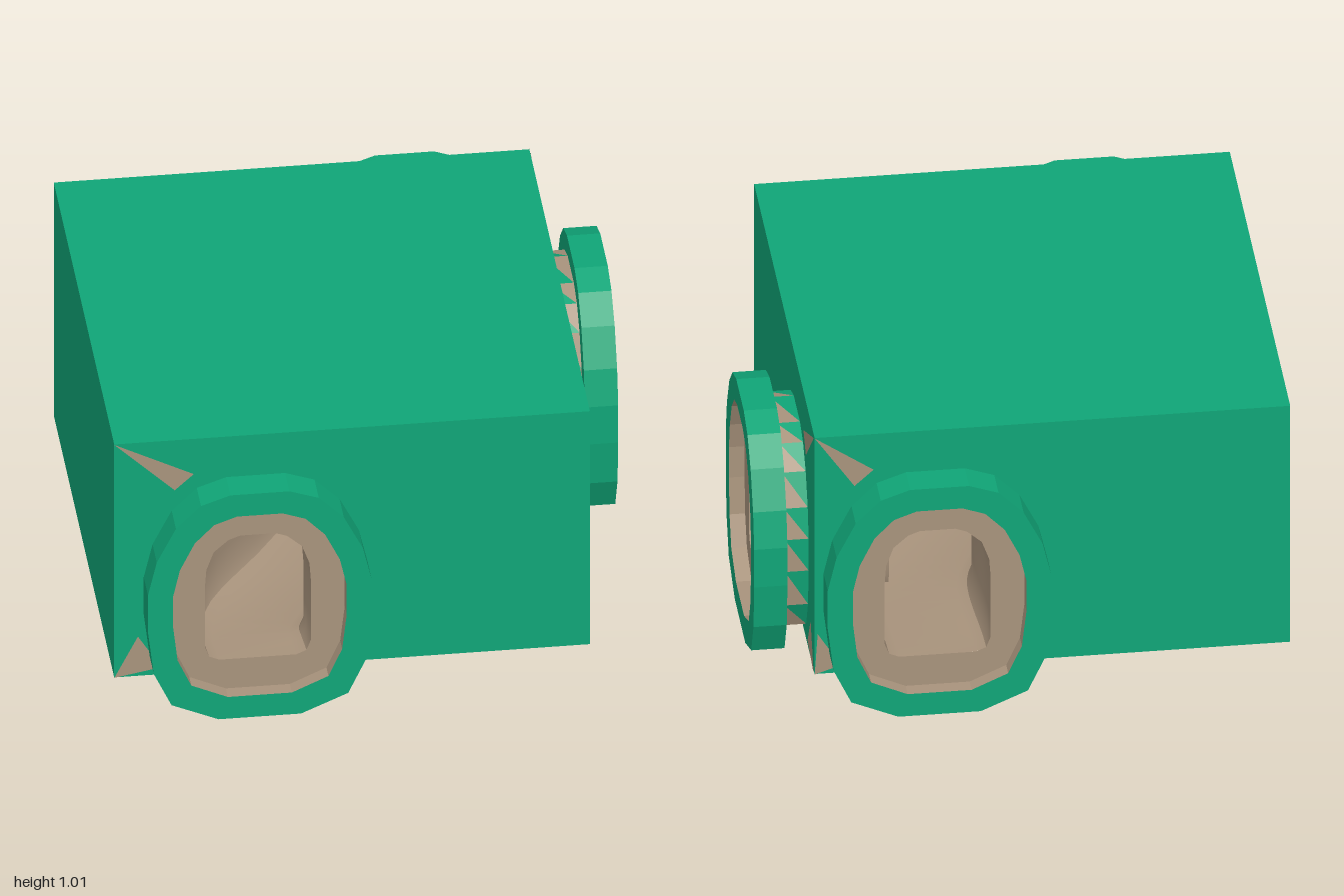
import * as THREE from 'three';
import { toCreasedNormals } from 'three/addons/utils/BufferGeometryUtils.js';

// Right halves of the collar and tunnel outlines, bottom to top: [x, y]
const COLLAR = [[.14, 0], [.3, .07], [.36, .2], [.38, .37], [.38, .52], [.35, .65], [.285, .78], [.2, .865], [.1, .9]];
const BORE = [[.13, .205], [.165, .22], [.18, .26], [.18, .35], [.18, .5], [.175, .57], [.15, .64], [.1, .685], [.06, .7]];
const MID = 0.45;

// Closed outline, scaled about its middle
function outline(half, sx = 1, sy = 1) {
  const right = half.map(([x, y]) => [x * sx, MID + (y - MID) * sy]);
  return [...right, ...right.map(([x, y]) => [-x, y]).reverse()];
}
const OUTER = outline(COLLAR);
const NECK = outline(COLLAR, 0.83, 0.845);
const MOUTH = outline(COLLAR, 0.776, 0.806);
const TUNNEL = outline(BORE);

const ringAt = (pts, z, cx = 0) => pts.map(([x, y]) => [x + cx, y, z]);

// Join successive rings with two triangles per side
function loft(rings) {
  const pos = [];
  for (let i = 0; i < rings.length - 1; i++) {
    const a = rings[i], b = rings[i + 1], n = a.length;
    for (let j = 0; j < n; j++) {
      const k = (j + 1) % n;
      pos.push(...a[j], ...a[k], ...b[k], ...a[j], ...b[k], ...b[j]);
    }
  }
  const geo = new THREE.BufferGeometry();
  geo.setAttribute('position', new THREE.Float32BufferAttribute(pos, 3));
  geo.computeVertexNormals();
  return geo;
}

// Sweep the tunnel outline along a level path of [x, z] points
function sweep(path, steps) {
  const curve = new THREE.CatmullRomCurve3(path.map(([x, z]) => new THREE.Vector3(x, 0, z)));
  const up = new THREE.Vector3(0, 1, 0), rings = [];
  for (let i = 0; i <= steps; i++) {
    const p = curve.getPointAt(i / steps);
    const side = up.clone().cross(curve.getTangentAt(i / steps).negate());
    rings.push(TUNNEL.map(([x, y]) => [p.x + side.x * x, y, p.z + side.z * x]));
  }
  return toCreasedNormals(loft(rings), 0.6);
}

export function createModel() {
  const model = new THREE.Group();
  model.name = 'tunnelBlock';
  const green = new THREE.MeshStandardMaterial({ color: 0x10a577 });
  green.name = 'green shell';
  const tan = new THREE.MeshStandardMaterial({ color: 0xa8937c, side: THREE.DoubleSide });
  tan.name = 'tan lining';

  const add = (parent, name, geo, mat) => {
    const mesh = new THREE.Mesh(geo, mat);
    mesh.name = name;
    parent.add(mesh);
    return mesh;
  };

  // Upright wall from x0 to x1 in its own frame, facing its own +z
  function wall(name, x0, x1, depth, turn, port, corner) {
    const group = new THREE.Group();
    group.name = name;
    group.rotation.y = turn;
    model.add(group);
    const shape = new THREE.Shape([[x0, .07], [x1, .07], [x1, 1.01], [x0, 1.01]].map(p => new THREE.Vector2(...p)));
    if (port !== undefined) {
      shape.holes.push(new THREE.Path(MOUTH.map(([x, y]) => new THREE.Vector2(x + port, y))));
    }
    add(group, name + 'Panel', new THREE.ShapeGeometry(shape), green).position.z = depth;
    if (port === undefined) return;

    const ring = (pts, z) => ringAt(pts, depth + z, port);
    // Neck with alternating triangles of shell and lining
    const neck = loft([ring(NECK, 0), ring(NECK, .08)]);
    for (let i = 0; i < NECK.length * 2; i++) neck.addGroup(i * 3, 3, i % 2);
    add(group, name + 'Neck', neck, [green, tan]);
    // Raised collar
    add(group, name + 'Collar', loft([ring(NECK, .08), ring(OUTER, .08), ring(OUTER, .193), ring(MOUTH, .193)]), green);
    // Recessed mouth leading to the tunnel
    add(group, name + 'Mouth', loft([ring(MOUTH, .193), ring(MOUTH, .14), ring(TUNNEL, .14)]), tan);

    // Thin lining slivers running to the nearest corner
    const s = Math.sign(corner - port);
    const slivers = [
      [[corner, 1.01], [port + s * .265, .81], [port + s * .2, .87]],
      [[corner, .07], [port + s * .39, .23], [port + s * .31, .1]],
    ];
    for (const tri of slivers) {
      const flat = new THREE.Shape(tri.map(p => new THREE.Vector2(...p)));
      add(group, name + 'Sliver', new THREE.ShapeGeometry(flat), tan).position.z = depth + .003;
    }
  }

  wall('frontWall', -.905, .71, .805, 0, -.435, -.905);
  wall('leftWall', -.805, .81, .71, Math.PI / 2, .335, .81);
  wall('backWall', -.71, .905, .81, Math.PI, -.31, -.71);
  wall('rightWall', -.81, .805, .905, -Math.PI / 2);

  // Roof and underside
  const slab = new THREE.PlaneGeometry(1.615, 1.615);
  for (const [name, y, turn] of [['roof', 1.01, -1], ['underside', .07, 1]]) {
    const mesh = add(model, name, slab, green);
    mesh.rotation.x = turn * Math.PI / 2;
    mesh.position.set(-.0975, y, -.0025);
  }

  // Winding passage from front to back, with a branch to the side port
  add(model, 'mainTunnel', sweep([[-.435, .945], [-.435, .75], [-.2, .4], [.1, -.05], [.31, -.45], [.31, -.95]], 32), tan);
  add(model, 'branchTunnel', sweep([[.85, -.335], [.64, -.335], [.42, -.335]], 4), tan);

  return model;
}
